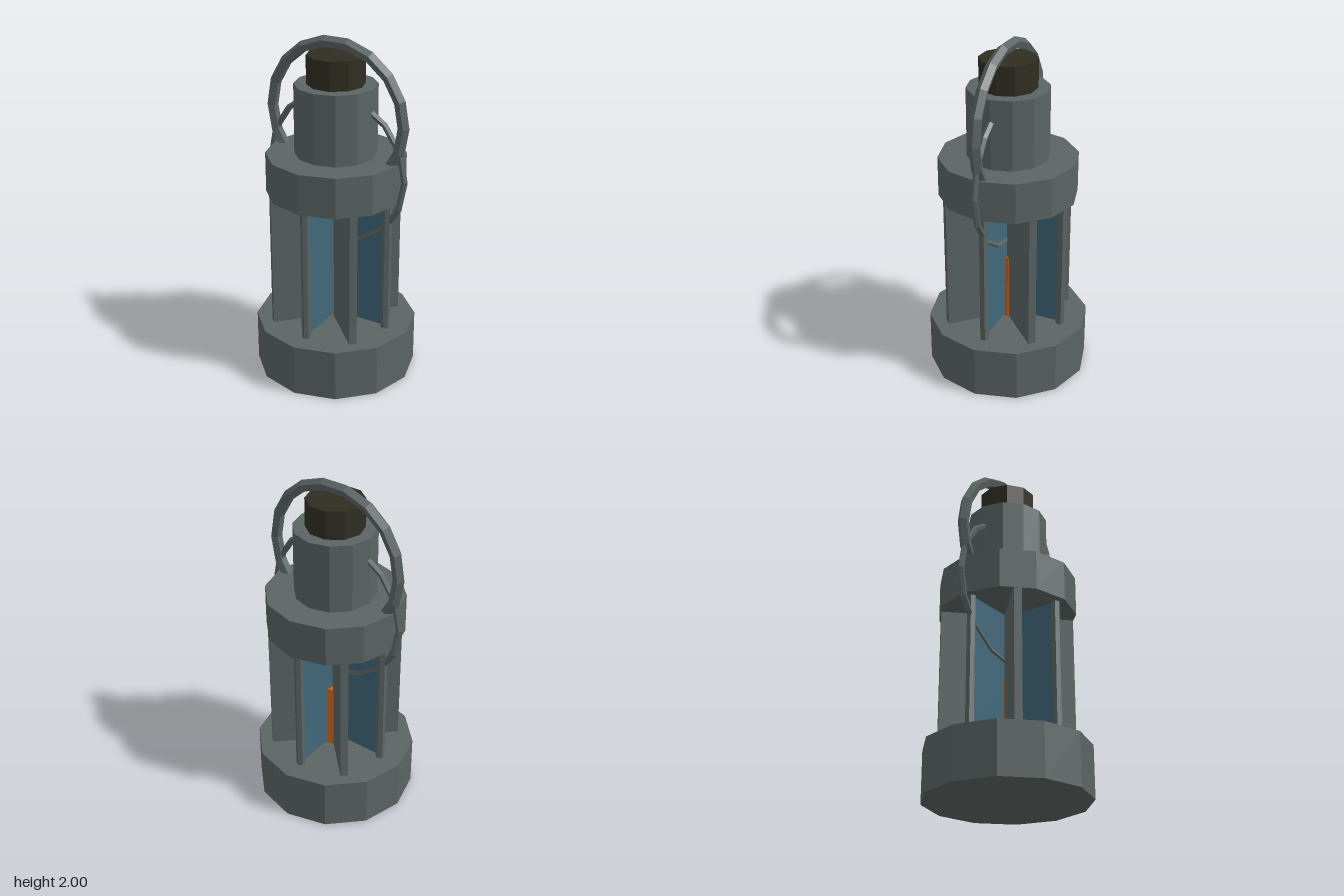
import * as THREE from 'three';

const material = (name, color) => {
  const m = new THREE.MeshStandardMaterial({ color, flatShading: true });
  m.name = name;
  return m;
};

export function createModel() {
  const lantern = new THREE.Group();
  lantern.name = 'lantern';

  const metal = material('greyMetal', 0x5b6564);
  const glass = material('blueGlass', 0x3f6779);
  const dark = material('darkCap', 0x302e22);
  const flame = material('orangeFlame', 0xcc5f1c);

  const add = (name, geometry, mat, x = 0, y = 0, z = 0, turn = 0) => {
    const mesh = new THREE.Mesh(geometry, mat);
    mesh.name = name;
    mesh.position.set(x, y, z);
    mesh.rotation.y = turn;
    lantern.add(mesh);
    return mesh;
  };
  // Upright prism between two heights
  const drum = (name, rBottom, rTop, y0, y1, sides, mat, x = 0, z = 0, turn = 0) =>
    add(name, new THREE.CylinderGeometry(rTop, rBottom, y1 - y0, sides), mat, x, (y0 + y1) / 2, z, turn);

  // Stacked body
  drum('base', 0.473, 0.473, 0, 0.305, 12, metal);
  drum('collar', 0.4, 0.4, 1.1, 1.335, 12, metal);
  drum('chimney', 0.235, 0.235, 1.335, 1.74, 12, metal);
  drum('cap', 0.165, 0.165, 1.74, 1.905, 10, dark, 0, 0, Math.PI / 10);

  // Corner posts at the ends of the glass cross
  for (let i = 0; i < 4; i++) {
    const a = (i * Math.PI) / 2;
    drum('post', 0.027, 0.027, 0.3, 1.11, 6, metal, 0.335 * Math.sin(a), 0.335 * Math.cos(a));
  }

  // Crossed glass panes and diagonal metal plates
  for (let i = 0; i < 2; i++) {
    const a = (i * Math.PI) / 2;
    add('glassPane', new THREE.BoxGeometry(0.66, 0.79, 0.016), glass, 0, 0.715, 0, a);
    add('diagonalPlate', new THREE.BoxGeometry(0.77, 0.81, 0.044), metal, 0, 0.705, 0, a + Math.PI / 4);
  }

  // Flame column
  drum('flame', 0.07, 0.062, 0.3, 0.7, 8, flame, 0, -0.025);

  // Carrying handle, its ends sunk into the collar
  const step = Math.PI / 9;
  const handle = add('handle', new THREE.TorusGeometry(0.423, 0.034, 5, 13, 13 * step), metal, 0, 1.55, 0);
  handle.rotation.z = -2 * step;

  // Thin wire ring passing through the body
  add('wireRing', new THREE.TorusGeometry(0.437, 0.019, 5, 16), metal, 0, 1.24, 0);

  return lantern;
}
